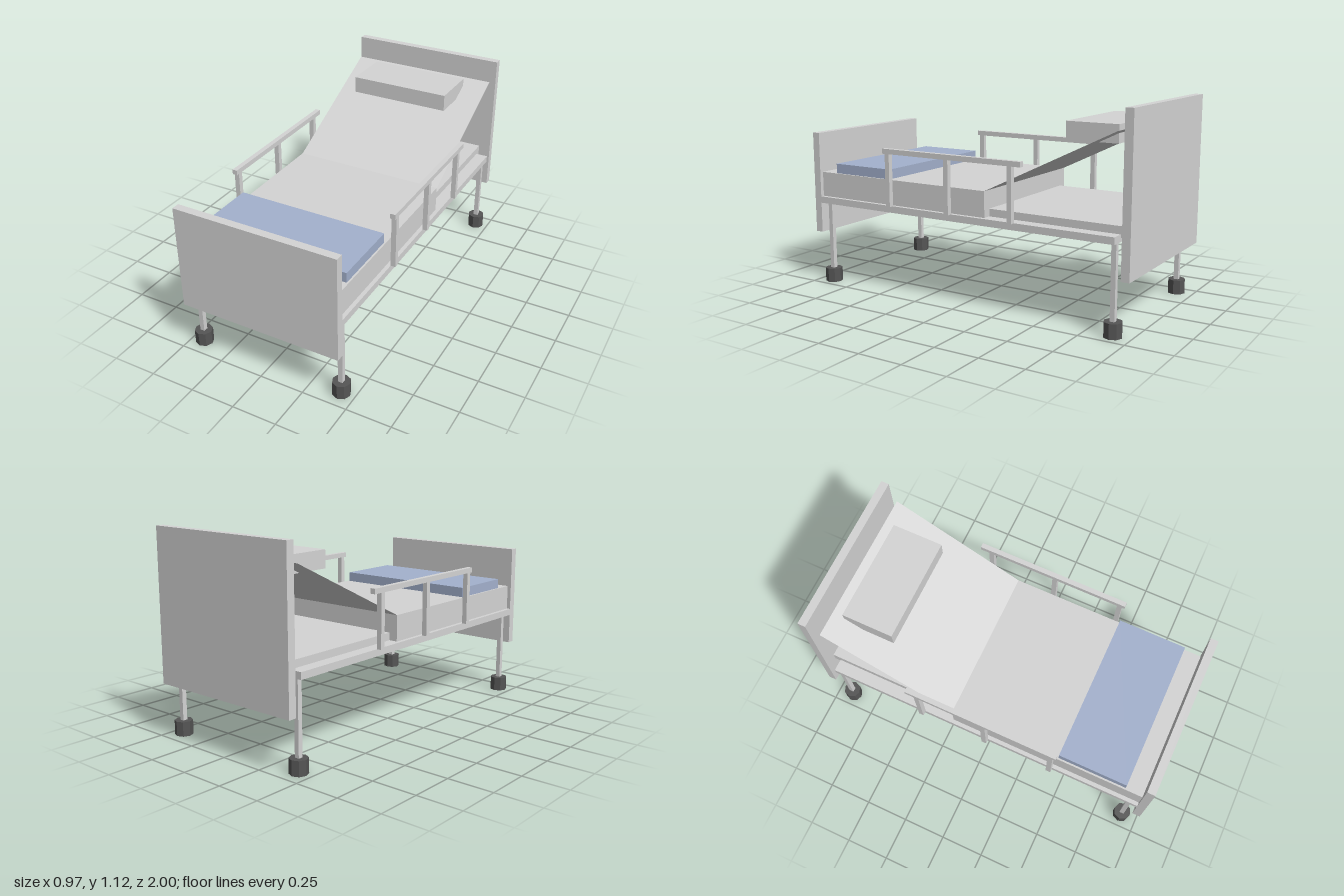
import * as THREE from 'three';

export function createModel() {
  const model = new THREE.Group();
  model.name = 'hospitalBed';

  const material = (name, color, extra = {}) => {
    const m = new THREE.MeshStandardMaterial({ color, ...extra });
    m.name = name;
    return m;
  };
  const grey = material('light grey', 0xd4d4d4, { side: THREE.DoubleSide });
  const blue = material('blanket blue', 0xa3b1cd);
  const dark = material('caster rubber', 0x555555, { flatShading: true });

  const add = (name, geometry, mat, parent = model) => {
    const mesh = new THREE.Mesh(geometry, mat);
    mesh.name = name;
    parent.add(mesh);
    return mesh;
  };
  // Box given by its limits on each axis
  const box = (name, [x0, x1], [y0, y1], [z0, z1], mat = grey, parent = model) => {
    const mesh = add(name, new THREE.BoxGeometry(x1 - x0, y1 - y0, z1 - z0), mat, parent);
    mesh.position.set((x0 + x1) / 2, (y0 + y1) / 2, (z0 + z1) / 2);
    return mesh;
  };

  // End boards
  box('footboard', [-0.46, 0.46], [0.295, 0.88], [0.955, 1]);
  box('headboard', [-0.46, 0.46], [0.295, 1.125], [-1, -0.955]);

  // Frame, head platform and mattress
  box('frame', [-0.46, 0.46], [0.47, 0.508], [-0.918, 0.955]);
  box('headPlatform', [-0.39, 0.39], [0.492, 0.549], [-0.955, -0.1]);
  box('mattress', [-0.438, 0.438], [0.508, 0.65], [-0.168, 0.955]);

  // Raised backrest: a thin sheet sloping up from the mattress edge
  const low = { y: 0.65, z: -0.168 };
  const high = { y: 1.01, z: -0.91 };
  const rise = high.y - low.y;
  const run = low.z - high.z;
  const backrest = add('backrest', new THREE.PlaneGeometry(0.876, Math.hypot(rise, run)), grey);
  backrest.position.set(0, (low.y + high.y) / 2, (low.z + high.z) / 2);
  backrest.rotation.x = -Math.atan2(run, rise);

  box('pillow', [-0.293, 0.293], [0.93, 1.025], [-0.852, -0.562]);
  box('blanket', [-0.428, 0.428], [0.65, 0.705], [0.465, 0.855], blue);

  for (const side of [-1, 1]) {
    // Side guard: three posts and a top bar
    const guard = new THREE.Group();
    guard.name = side > 0 ? 'leftGuard' : 'rightGuard';
    model.add(guard);
    const span = side > 0 ? [0.459, 0.487] : [-0.487, -0.459];
    box('guardBar', span, [0.802, 0.83], [-0.413, 0.465], grey, guard);
    for (const z of [-0.347, 0.043, 0.434]) {
      box('guardPost', span, [0.508, 0.802], [z - 0.014, z + 0.014], grey, guard);
    }

    // Legs on eight-sided casters
    for (const z of [-0.905, 0.907]) {
      const x = side * 0.425;
      box('leg', [x - 0.013, x + 0.013], [0.08, 0.47], [z - 0.013, z + 0.013]);
      const caster = add('caster', new THREE.CylinderGeometry(0.049, 0.049, 0.08, 8), dark);
      caster.position.set(x, 0.04, z);
    }
  }

  return model;
}
